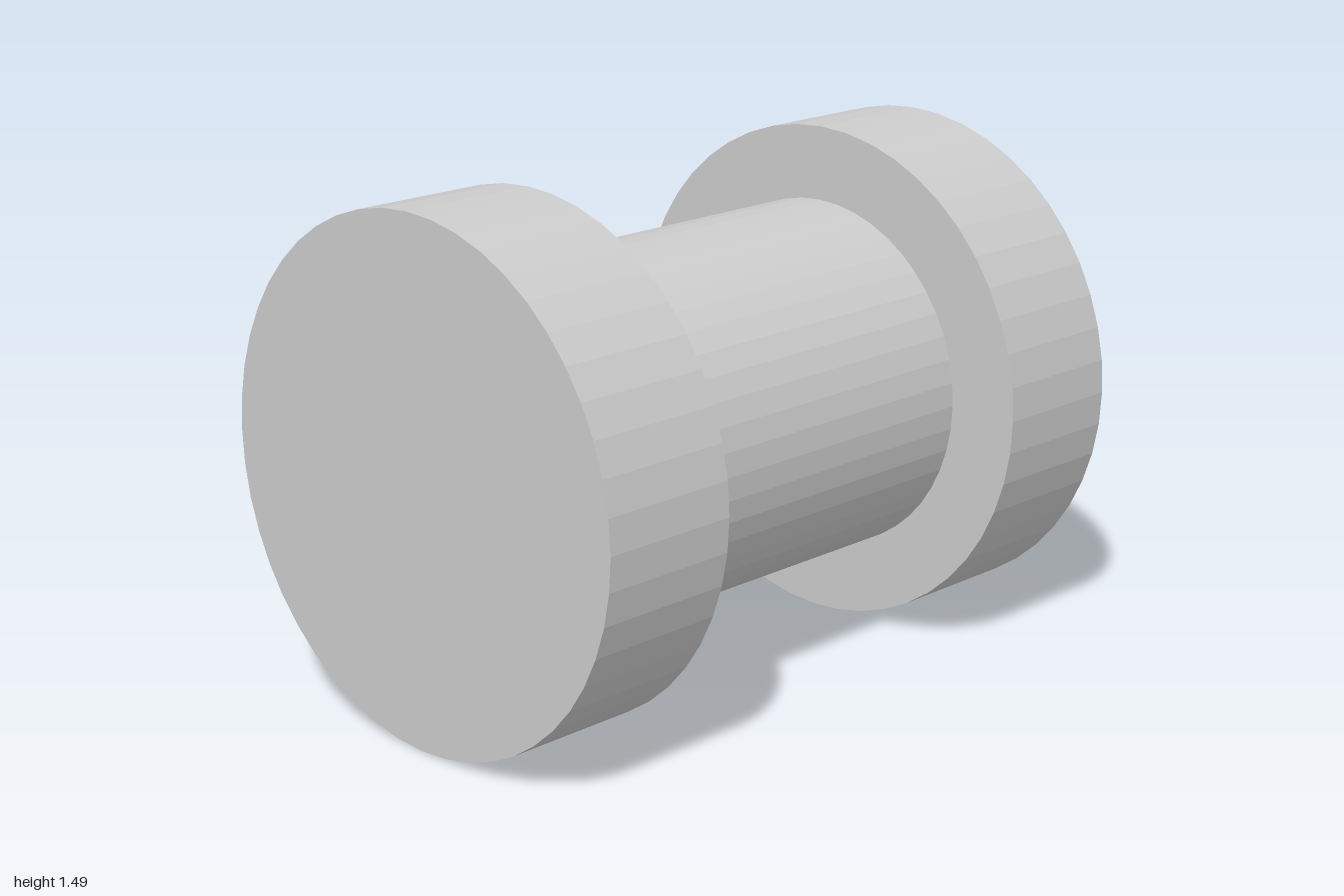
import * as THREE from 'three';

const RADIUS = 0.747;      // end discs
const CORE_RADIUS = 0.527; // middle shaft
const INNER_Z = 0.58;      // inner face of each disc
const SIDES = 48;

export function createModel() {
  const group = new THREE.Group();
  group.name = 'spool';
  const material = new THREE.MeshStandardMaterial({ color: 0xcccccc, flatShading: true });

  // Cylinder lying along z, resting at the common axis height
  function addCylinder(name, radius, length, z, openEnded = false) {
    const geometry = new THREE.CylinderGeometry(radius, radius, length, SIDES, 1, openEnded);
    geometry.rotateX(Math.PI / 2);
    const mesh = new THREE.Mesh(geometry, material);
    mesh.name = name;
    mesh.position.set(0, RADIUS, z);
    group.add(mesh);
  }

  // Shaft, its ends closed off by the discs
  addCylinder('shaft', CORE_RADIUS, 2 * INNER_Z, 0, true);

  // Front and back end discs
  for (const [name, side] of [['frontDisc', 1], ['backDisc', -1]]) {
    addCylinder(name, RADIUS, 1 - INNER_Z, side * (1 + INNER_Z) / 2);
  }

  return group;
}
